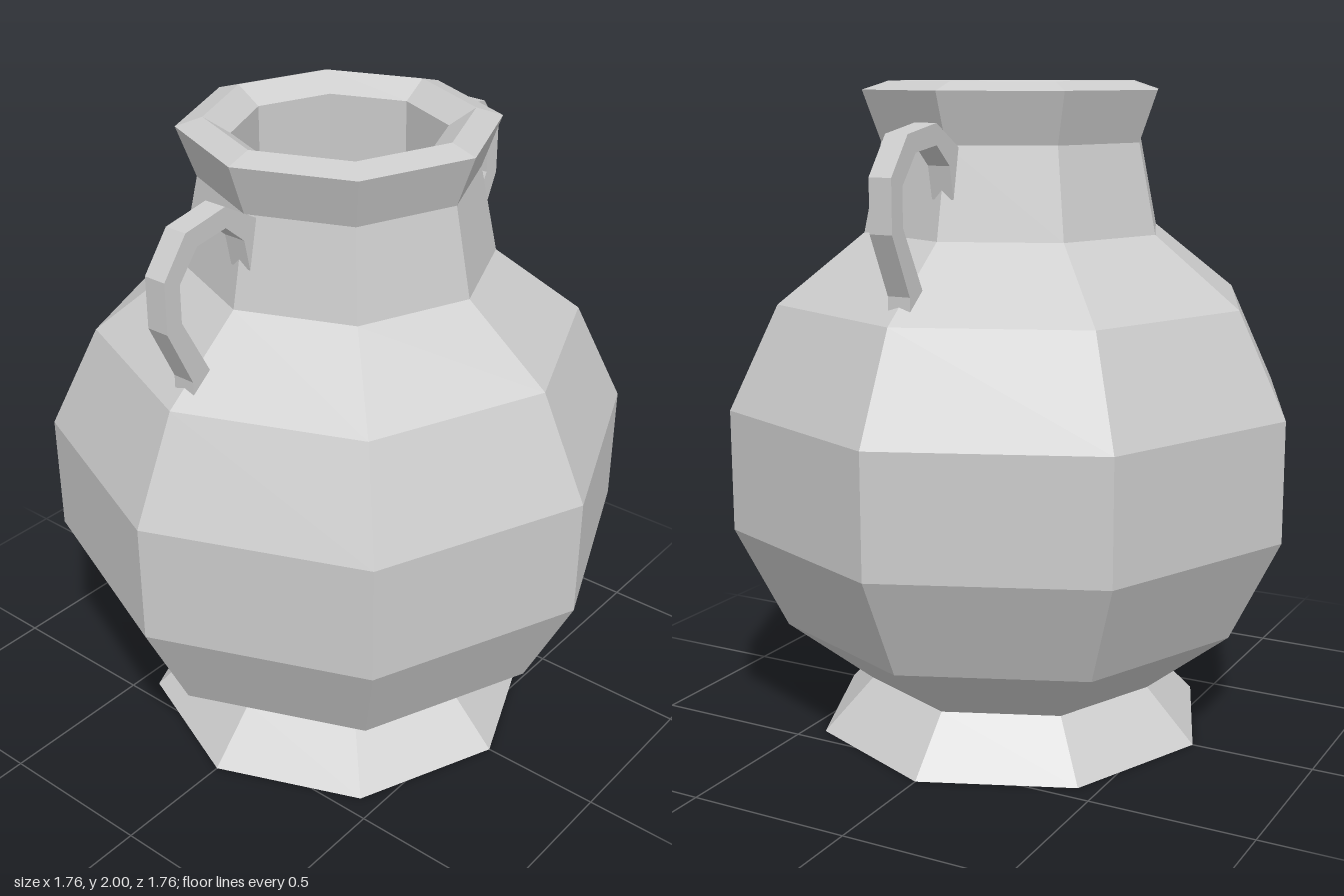
import * as THREE from 'three';

const material = new THREE.MeshStandardMaterial({ color: 0xcccccc, flatShading: true });
const toPoints = (pairs) => pairs.map(([x, y]) => new THREE.Vector2(x, y));

// Eight-sided vessel: foot, belly, neck, flared rim and hollow mouth in one profile
function makeVessel() {
  const profile = toPoints([
    [0, 0], [0.62, 0], [0.465, 0.16],                              // foot
    [0.725, 0.365], [0.88, 0.68], [0.88, 1.045], [0.73, 1.355],    // belly
    [0.465, 1.56], [0.41, 1.825],                                  // neck
    [0.465, 1.975], [0.387, 2.0], [0.31, 1.95],                    // rim
    [0.312, 1.5], [0, 1.5],                                        // mouth
  ]);
  const mesh = new THREE.Mesh(new THREE.LatheGeometry(profile, 8), material);
  mesh.name = 'vessel';
  return mesh;
}

// Flat angular loop from the neck to the shoulder, built on the +x side
function makeHandleGeometry() {
  const width = 0.07;
  const outline = new THREE.Shape(toPoints([
    [0.40, 1.82], [0.43, 1.675], [0.45, 1.77], [0.52, 1.83],
    [0.63, 1.815], [0.70, 1.73], [0.70, 1.62], [0.60, 1.435], [0.58, 1.42],
    [0.67, 1.39], [0.67, 1.43], [0.755, 1.605], [0.755, 1.755],
    [0.67, 1.865], [0.52, 1.89],
  ]));
  const geometry = new THREE.ExtrudeGeometry(outline, { depth: width, bevelEnabled: false });
  return geometry.translate(0, 0, -width / 2);
}

export function createModel() {
  const model = new THREE.Group();
  model.name = 'urn';
  model.add(makeVessel());

  const handleGeometry = makeHandleGeometry();
  ['leftHandle', 'rightHandle'].forEach((name, i) => {
    const handle = new THREE.Mesh(handleGeometry, material);
    handle.name = name;
    handle.rotation.y = i * Math.PI;
    model.add(handle);
  });
  return model;
}
